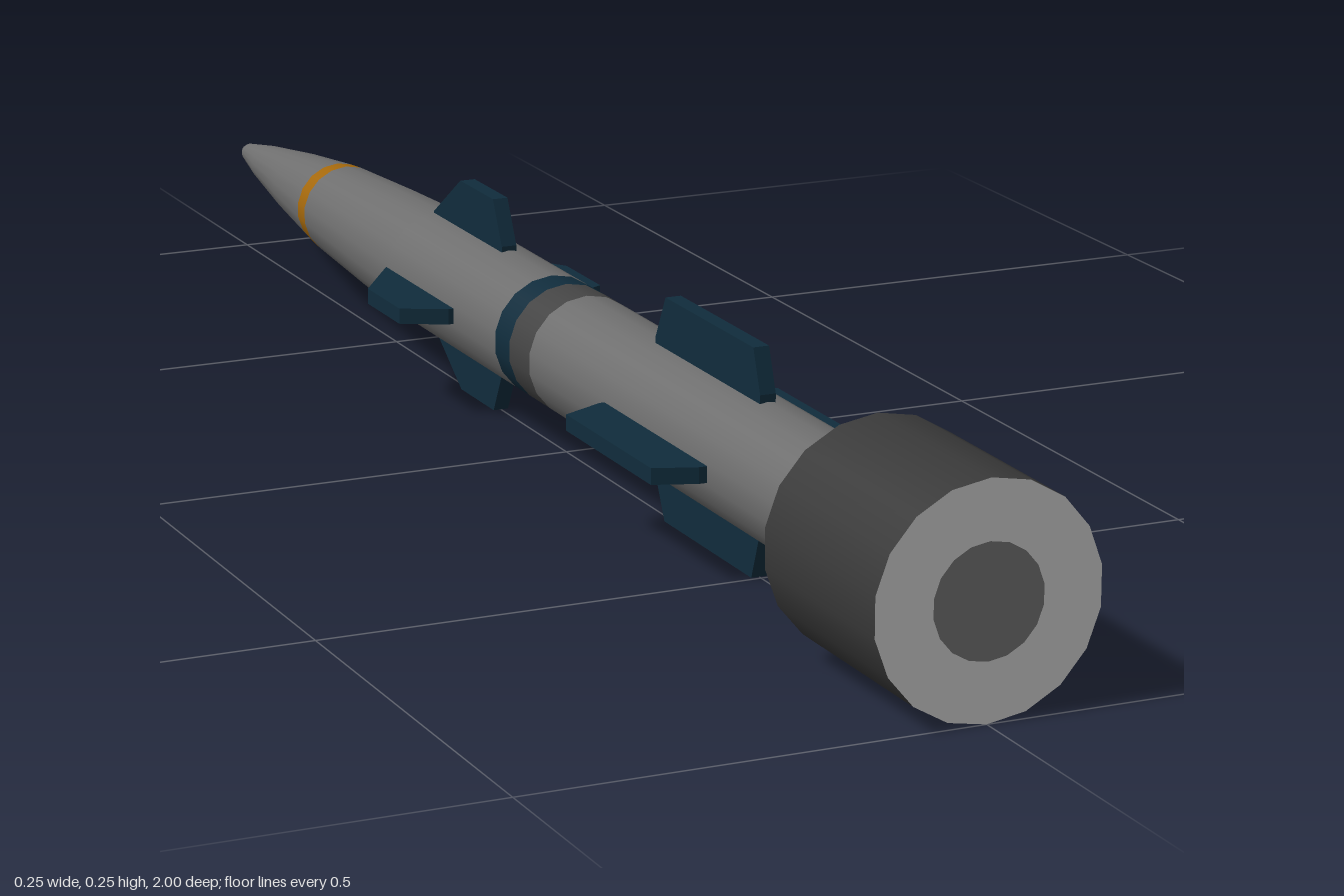
import * as THREE from 'three';

const AXIS_Y = 0.125; // height of the long axis
const SIDES = 18;

function material(name, color) {
  const m = new THREE.MeshStandardMaterial({ color });
  m.name = name;
  return m;
}

// Surface of revolution along z; profile is [z, radius] from nose to tail
function revolve(profile) {
  const points = profile.map(([z, r]) => new THREE.Vector2(r, z));
  return new THREE.LatheGeometry(points, SIDES).rotateX(Math.PI / 2);
}

export function createModel() {
  const bodyGrey = material('body grey', 0x6e6e6e);
  const boosterGrey = material('booster dark grey', 0x393939);
  const bandGrey = material('band dark grey', 0x444444);
  const capGrey = material('cap light grey', 0xc8c8c8);
  const finBlue = material('fin dark blue', 0x102c3c);
  const orange = material('stripe orange', 0xa4680c);

  const group = new THREE.Group();
  group.name = 'missile';
  const axis = new THREE.Group();
  axis.name = 'missileAxis';
  axis.position.y = AXIS_Y;
  group.add(axis);

  function add(name, geometry, mat, parent = axis) {
    const mesh = new THREE.Mesh(geometry, mat);
    mesh.name = name;
    parent.add(mesh);
    return mesh;
  }

  // Nose, split around the orange stripe
  add('noseTip', revolve([
    [-1, 0], [-0.997, 0.006], [-0.985, 0.011], [-0.92, 0.023], [-0.8, 0.04], [-0.685, 0.053],
  ]), bodyGrey);
  add('noseStripe', revolve([[-0.685, 0.053], [-0.657, 0.0555]]), orange);
  add('noseCone', revolve([[-0.657, 0.0555], [-0.5, 0.064], [-0.36, 0.07]]), bodyGrey);

  // Body tube and its middle bands
  add('frontBody', revolve([[-0.36, 0.07], [-0.04, 0.07]]), bodyGrey);
  add('blueBand', revolve([[-0.04, 0.07], [0, 0.07]]), finBlue);
  add('greyBand', revolve([[0, 0.07], [0.055, 0.07]]), bandGrey);
  add('rearBody', revolve([[0.055, 0.07], [0.7, 0.07]]), bodyGrey);

  // Booster with shoulder, end cap and nozzle disc
  add('boosterShoulder', revolve([[0.7, 0.07], [0.76, 0.125]]), boosterGrey);
  add('booster', revolve([[0.76, 0.125], [1, 0.125]]), boosterGrey);
  add('endCap', new THREE.RingGeometry(0.061, 0.125, SIDES, 1, Math.PI / 2), capGrey).position.z = 1;
  add('nozzle', new THREE.CircleGeometry(0.061, SIDES, Math.PI / 2), bodyGrey).position.z = 1;

  // Fins: outline in [z, radius], extruded to a plate and repeated around the axis
  function addFins(name, outline) {
    const shape = new THREE.Shape(outline.map(([z, r]) => new THREE.Vector2(-z, r)));
    const thickness = 0.018;
    const geometry = new THREE.ExtrudeGeometry(shape, { depth: thickness, bevelEnabled: false })
      .translate(0, 0, -thickness / 2)
      .rotateY(Math.PI / 2);
    const fins = new THREE.Group();
    fins.name = name;
    axis.add(fins);
    for (let i = 0; i < 4; i++) {
      add(`${name}${i + 1}`, geometry, finBlue, fins).rotation.z = i * Math.PI / 2;
    }
  }
  addFins('rearFin', [
    [0.512, 0.05], [0.512, 0.078], [0.495, 0.125], [0.28, 0.125], [0.255, 0.075], [0.255, 0.05],
  ]);
  addFins('frontFin', [
    [-0.16, 0.05], [-0.16, 0.075], [-0.185, 0.125], [-0.28, 0.125], [-0.36, 0.07], [-0.36, 0.05],
  ]);

  return group;
}
